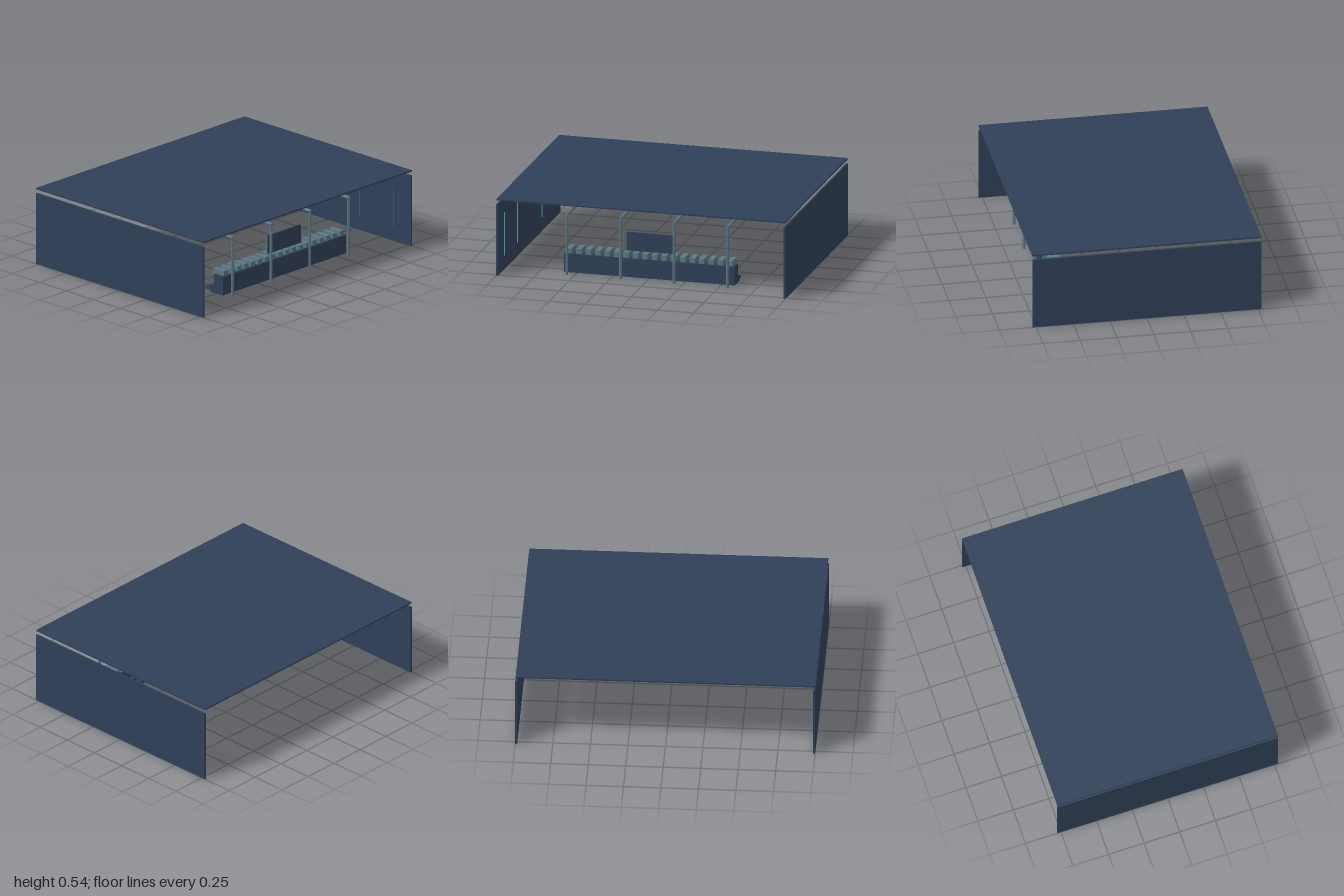
import * as THREE from 'three';

const mat = (name, color, extra = {}) => {
  const m = new THREE.MeshStandardMaterial({ color, ...extra });
  m.name = name;
  return m;
};

export function createModel() {
  const group = new THREE.Group();
  const navy = mat('navy panel', 0x2f3f58);
  const steel = mat('blue grey metal', 0x5a7682);
  const teal = mat('teal light', 0x4a9aa5, { side: THREE.FrontSide });

  const add = (name, geometry, material, x, y, z) => {
    const mesh = new THREE.Mesh(geometry, material);
    mesh.name = name;
    mesh.position.set(x, y, z);
    group.add(mesh);
    return mesh;
  };
  // box given by its lower and upper limits on each axis
  const box = (name, material, [x0, x1], [y0, y1], [z0, z1]) =>
    add(name, new THREE.BoxGeometry(x1 - x0, y1 - y0, z1 - z0), material,
      (x0 + x1) / 2, (y0 + y1) / 2, (z0 + z1) / 2);

  // floating roof slab
  box('roof', navy, [-0.775, 0.775], [0.525, 0.535], [-0.997, 0.997]);

  // end walls with slim light strips on the inner faces
  for (const s of [1, -1]) {
    const wall = box('endWall', navy, [-0.775, 0.775], [0, 0.498], [-0.0065, 0.0065]);
    wall.position.z = s * 0.9935;
    for (const x of [-0.62, -0.305, 0.305, 0.62]) {
      const strip = add('lightStrip', new THREE.PlaneGeometry(0.008, 0.3), teal, x, 0.25, s * 0.984);
      strip.rotation.y = Math.PI / 2;
    }
  }

  // long counter: upright body and low rails behind it
  box('counterBody', navy, [0.48, 0.56], [0, 0.13], [-0.59, 0.59]);
  box('innerRail', navy, [0.445, 0.48], [0, 0.045], [-0.59, 0.59]);
  box('outerRail', navy, [0.4, 0.445], [0.012, 0.03], [-0.59, 0.59]);

  // row of slats across the counter top
  const slats = 18;
  for (let i = 0; i < slats; i++) {
    const z = -0.555 + (1.11 * i) / (slats - 1);
    box('slat', steel, [0.455, 0.555], [0.13, 0.165], [z - 0.019, z + 0.019]);
  }

  // posts with arms reaching inwards
  for (const z of [-0.555, -0.185, 0.185, 0.555]) {
    add('post', new THREE.CylinderGeometry(0.01, 0.01, 0.42, 12), steel, 0.615, 0.21, z);
    const arm = add('arm', new THREE.CylinderGeometry(0.011, 0.011, 0.29, 12), steel, 0.481, 0.415, z);
    arm.rotation.z = Math.PI / 2;
  }

  // display panel with slim side trims
  box('displayPanel', navy, [0.55, 0.562], [0.185, 0.312], [-0.157, 0.157]);
  for (const s of [1, -1]) {
    const trim = box('displayTrim', steel, [0.55, 0.56], [0.187, 0.31], [-0.002, 0.002]);
    trim.position.z = s * 0.166;
  }
  return group;
}
